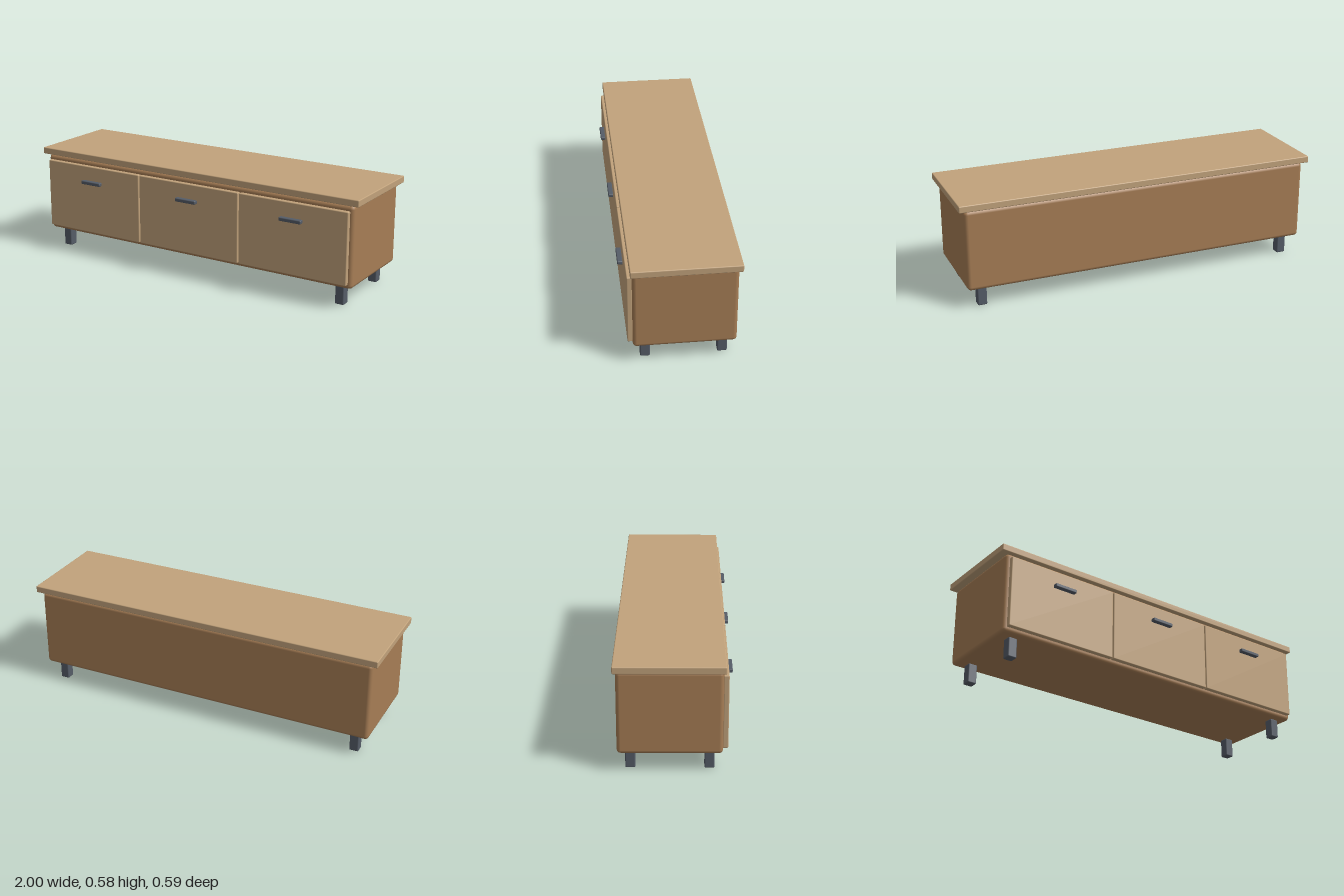
import * as THREE from 'three';
import { RoundedBoxGeometry } from 'three/addons/geometries/RoundedBoxGeometry.js';

const lightWood = new THREE.MeshStandardMaterial({ color: 0xc1a27b });
const darkWood = new THREE.MeshStandardMaterial({ color: 0xa67d55 });
const metal = new THREE.MeshStandardMaterial({ color: 0x555c67 });

// Soft-edged block given by its min and max on each axis
function block(name, [x0, x1], [y0, y1], [z0, z1], radius, material) {
  const geometry = new RoundedBoxGeometry(x1 - x0, y1 - y0, z1 - z0, 2, radius);
  const mesh = new THREE.Mesh(geometry, material);
  mesh.name = name;
  mesh.position.set((x0 + x1) / 2, (y0 + y1) / 2, (z0 + z1) / 2);
  return mesh;
}

const around = (centre, half) => [centre - half, centre + half];

export function createModel() {
  const model = new THREE.Group();
  model.name = 'sideboard';

  // Carcass and overhanging top
  model.add(block('body', [-0.97, 0.97], [0.107, 0.546], [-0.278, 0.242], 0.02, darkWood));
  model.add(block('top', [-1, 1], [0.548, 0.585], [-0.292, 0.253], 0.005, lightWood));

  // Three drawers, each with a bar handle
  ['right', 'middle', 'left'].forEach((side, i) => {
    const x = (i - 1) * 0.636;
    const drawer = new THREE.Group();
    drawer.name = side + 'Drawer';
    drawer.add(block('drawerFront', around(x, 0.315), [0.132, 0.52], [0.24, 0.267], 0.005, lightWood));
    drawer.add(block('handle', around(x, 0.064), [0.42, 0.44], [0.266, 0.293], 0.005, metal));
    model.add(drawer);
  });

  // Four square legs
  for (const [side, x] of [['Right', -0.886], ['Left', 0.886]]) {
    for (const [end, z] of [['front', 0.177], ['back', -0.214]]) {
      model.add(block(end + side + 'Leg', around(x, 0.025), [0, 0.107], around(z, 0.025), 0.006, metal));
    }
  }
  return model;
}
